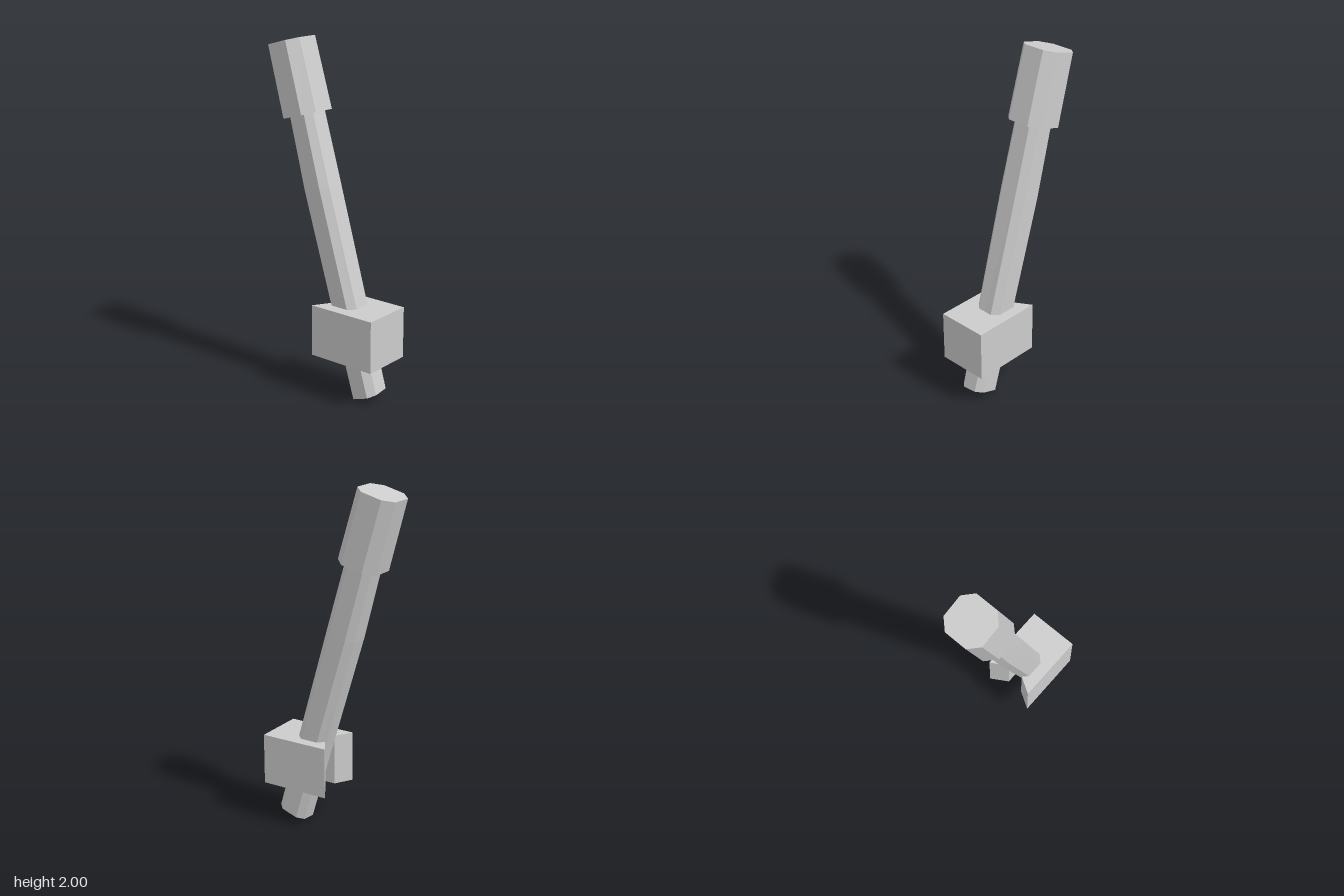
import * as THREE from 'three';

const material = new THREE.MeshStandardMaterial({ color: 0xcccccc, flatShading: true });

// Chamfered-square section: half width w, half depth d, chamfer c,
// leaning back by tilt and sideways by roll (degrees).
function ring({ y, z, x = 0, w, d, c, tilt, roll = 0 }) {
  const t = THREE.MathUtils.degToRad(tilt), r = THREE.MathUtils.degToRad(roll);
  const u = new THREE.Vector3(Math.cos(r), Math.sin(r), 0);
  const v = new THREE.Vector3(0, Math.sin(t), Math.cos(t));
  const corners = [
    [w, -d + c], [w, d - c], [w - c, d], [-w + c, d],
    [-w, d - c], [-w, -d + c], [-w + c, -d], [w - c, -d],
  ];
  return corners.map(([a, b]) => new THREE.Vector3(x, y, z).addScaledVector(u, a).addScaledVector(v, b));
}

// Joins sections from bottom to top and closes both ends
function loft(name, sections) {
  const rings = sections.map(ring), n = 8, index = [];
  for (let s = 0; s < rings.length - 1; s++) {
    for (let i = 0; i < n; i++) {
      const a = s * n + i, b = s * n + (i + 1) % n;
      index.push(a, a + n, b, b, a + n, b + n);
    }
  }
  const top = (rings.length - 1) * n;
  for (let i = 1; i < n - 1; i++) {
    index.push(0, i, i + 1);
    index.push(top, top + i + 1, top + i);
  }
  const geometry = new THREE.BufferGeometry().setFromPoints(rings.flat());
  geometry.setIndex(index);
  const flat = geometry.toNonIndexed();
  flat.computeVertexNormals();
  const mesh = new THREE.Mesh(flat, material);
  mesh.name = name;
  return mesh;
}

export function createModel() {
  const group = new THREE.Group();
  group.name = 'lever';

  // Slightly bent shaft
  group.add(loft('shaft', [
    { x: 0.004, y: 0.037, z: 0.274, w: 0.082, d: 0.087, c: 0.037, tilt: 19, roll: 7 },
    { y: 1.177, z: -0.058, w: 0.091, d: 0.091, c: 0.039, tilt: 15 },
    { y: 1.6, z: -0.174, w: 0.086, d: 0.085, c: 0.036, tilt: 15 },
  ]));

  // Thicker handle on top
  group.add(loft('handle', [
    { y: 1.575, z: -0.167, w: 0.125, d: 0.122, c: 0.058, tilt: 15 },
    { y: 1.969, z: -0.279, w: 0.12, d: 0.117, c: 0.055, tilt: 15 },
  ]));

  // Mounting block with a flared slot at the back (shape y is -z)
  const half = [[0.15, -0.398], [0.15, 0.015], [0.05, -0.045], [0.05, -0.2]];
  const outline = [...half, ...half.map(([x, y]) => [-x, y]).reverse()];
  const shape = new THREE.Shape(outline.map(([x, y]) => new THREE.Vector2(x, y)));
  const blockGeometry = new THREE.ExtrudeGeometry(shape, { depth: 0.297, bevelEnabled: false });
  blockGeometry.rotateX(-Math.PI / 2);
  const block = new THREE.Mesh(blockGeometry, material);
  block.name = 'mountingBlock';
  block.position.y = 0.239;
  group.add(block);

  return group;
}
